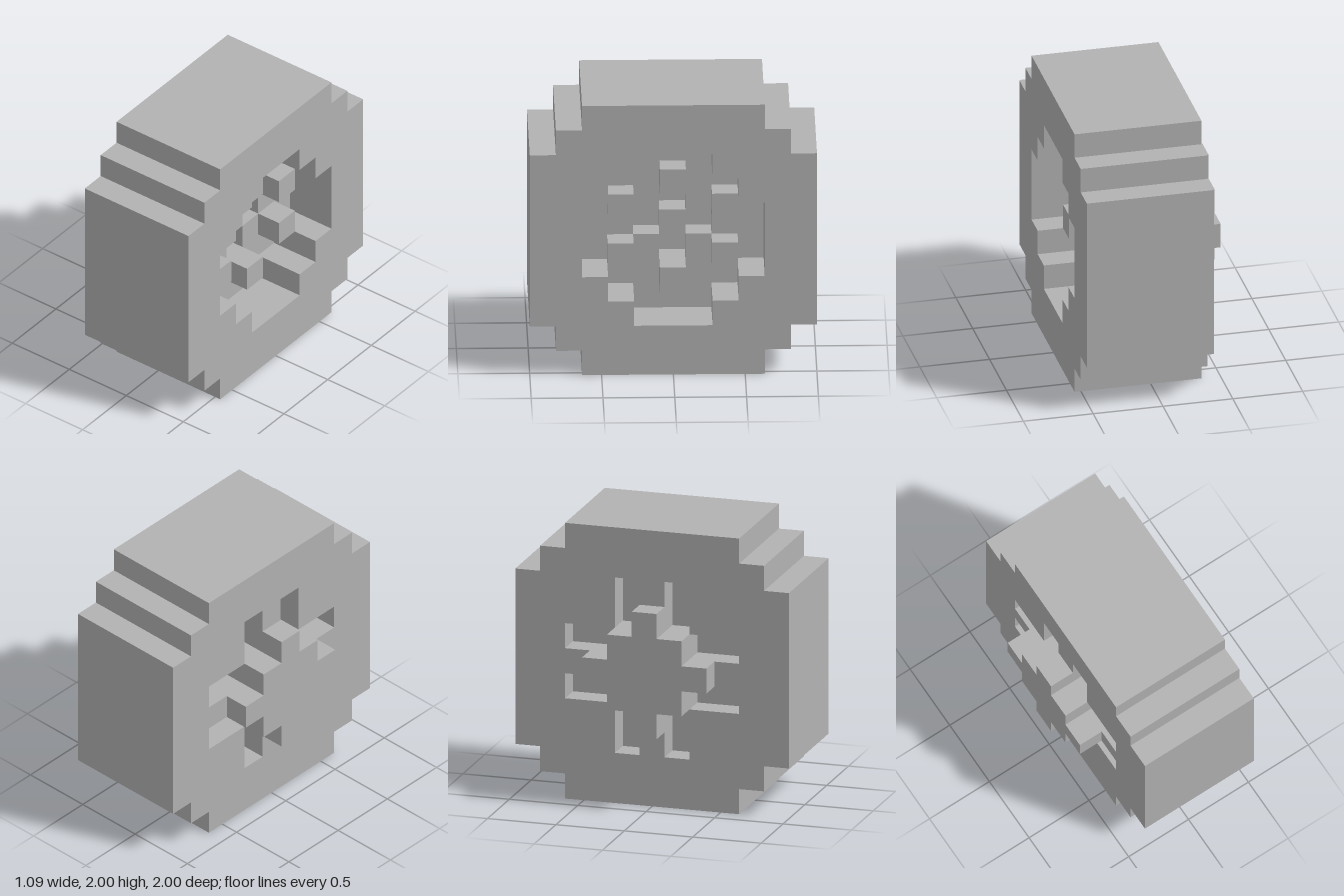
import * as THREE from 'three';

const U = 2 / 11; // one block

// Full stepped outline from its first-quadrant corners (in blocks)
function stepped(quadrant) {
  const pts = [];
  for (let k = 0; k < 4; k++) {
    const c = [1, 0, -1, 0][k], s = [0, 1, 0, -1][k];
    for (const [a, b] of quadrant) {
      pts.push(new THREE.Vector2((a * c - b * s) * U, (a * s + b * c) * U));
    }
  }
  return pts;
}

const TYRE = [[5.5, 3.5], [4.5, 3.5], [4.5, 4.5], [3.5, 4.5], [3.5, 5.5]];
const RIM = [[3.5, 1.5], [2.5, 1.5], [2.5, 2.5], [1.5, 2.5], [1.5, 3.5]];
const HUB = [[2.5, 0.5], [1.5, 0.5], [1.5, 1.5], [0.5, 1.5], [0.5, 2.5]];
const PLUS = [[1.5, 0.5], [0.5, 0.5], [0.5, 1.5]];

export function createModel() {
  const group = new THREE.Group();
  const grey = new THREE.MeshStandardMaterial({ color: 0xb2b2b2 });
  grey.name = 'grey';

  function add(name, geometry) {
    const mesh = new THREE.Mesh(geometry, grey);
    mesh.name = name;
    group.add(mesh);
  }

  // Layer of the wheel running from block x0 to x1 along the axle
  function layer(name, outline, hole, x0, x1) {
    const shape = new THREE.Shape(stepped(outline));
    if (hole) shape.holes.push(new THREE.Path(stepped(hole)));
    const g = new THREE.ExtrudeGeometry(shape, { depth: (x1 - x0) * U, bevelEnabled: false });
    g.rotateY(Math.PI / 2);
    g.translate(x0 * U, 1, 0);
    add(name, g);
  }

  // Single block at column z, row y
  function block(name, x, y, z) {
    const g = new THREE.BoxGeometry(U, U, U);
    g.translate((x + 0.5) * U, 1 + y * U, z * U);
    add(name, g);
  }

  layer('tyre', TYRE, RIM, -2, 3);
  layer('rimDisc', RIM, null, -1, 0);
  layer('rimFace', RIM, PLUS, 0, 1);
  layer('hub', HUB, null, -3, -1);
  block('axleCap', 0, 0, 0);

  // Wheel nuts inside the open side
  for (const [z, y] of [[0, 2], [0, -2], [2, 1], [2, -1], [-2, 1], [-2, -1]]) {
    block('wheelNut', 1, y, z);
  }

  // Spokes between the slots on the hub side
  for (const s of [-1, 1]) {
    block('spoke', -2, 3 * s, 0);
    block('spoke', -2, 0, 3 * s);
    for (const t of [-1, 1]) block('cornerSpoke', -2, 2 * s, 2 * t);
  }
  return group;
}
